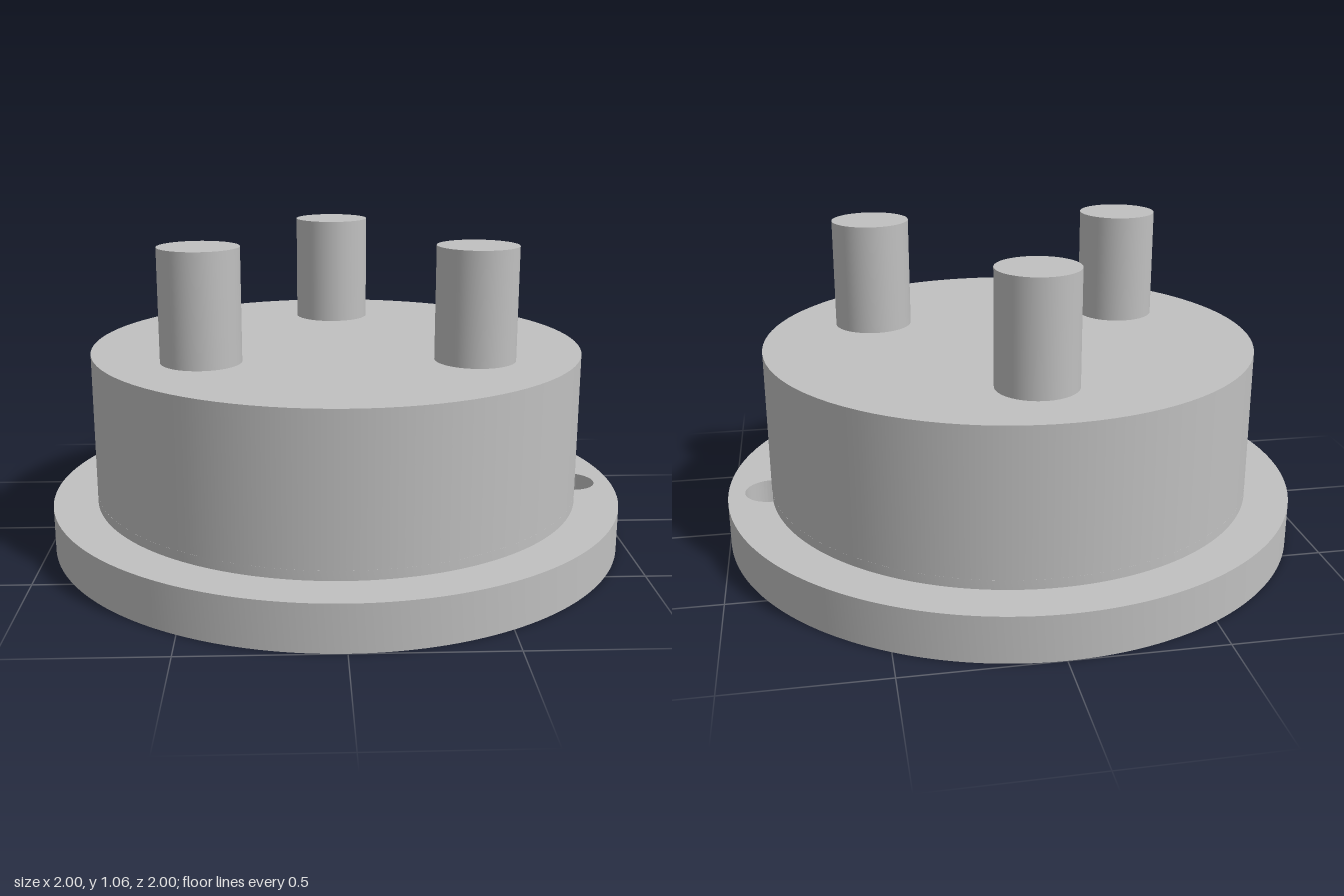
import * as THREE from 'three';
import { toCreasedNormals } from 'three/addons/utils/BufferGeometryUtils.js';

const FLANGE_R = 1, FLANGE_TOP = 0.155;
const DRUM_R = 0.848, DRUM_TOP = 0.68;
const HOLE_X = 0.85, HOLE_R = 0.092, HOLE_TOP = 0.187;
const PIN_R = 0.135, PIN_TOP = 1.06, PIN_RING = 0.523;

export function createModel() {
  const group = new THREE.Group();
  const grey = new THREE.MeshStandardMaterial({ color: 0xc0c0c0 });
  grey.name = 'grey';

  const add = (name, geometry, x = 0, y = 0, z = 0) => {
    const mesh = new THREE.Mesh(geometry, grey);
    mesh.name = name;
    mesh.position.set(x, y, z);
    group.add(mesh);
  };

  // Upright slab with the given outline, smooth round its curved walls
  const slab = (shape, height) => {
    const geometry = new THREE.ExtrudeGeometry(shape, { depth: height, bevelEnabled: false, curveSegments: 96 });
    geometry.rotateX(-Math.PI / 2);
    return toCreasedNormals(geometry, 0.6);
  };

  // Base flange with a hole right through it
  const flange = new THREE.Shape().absarc(0, 0, FLANGE_R, 0, Math.PI * 2, false);
  flange.holes.push(new THREE.Path().absarc(HOLE_X, 0, HOLE_R, 0, Math.PI * 2, true));
  add('flange', slab(flange, FLANGE_TOP));

  // Foot of the drum, where the hole bites a shallow notch into its wall
  const a = Math.acos((DRUM_R ** 2 + HOLE_X ** 2 - HOLE_R ** 2) / (2 * DRUM_R * HOLE_X));
  const b = Math.atan2(DRUM_R * Math.sin(a), DRUM_R * Math.cos(a) - HOLE_X);
  const foot = new THREE.Shape();
  foot.absarc(0, 0, DRUM_R, a, Math.PI * 2 - a, false);
  foot.absarc(HOLE_X, 0, HOLE_R, -b, b, true);
  add('drumFoot', slab(foot, HOLE_TOP - FLANGE_TOP), 0, FLANGE_TOP, 0);

  // Main drum; its underside closes the top of the notch
  const drumHeight = DRUM_TOP - HOLE_TOP;
  add('drum', new THREE.CylinderGeometry(DRUM_R, DRUM_R, drumHeight, 96), 0, HOLE_TOP + drumHeight / 2, 0);

  // Three pins evenly spaced on a ring, one at the back
  const pinHeight = PIN_TOP - DRUM_TOP;
  for (let i = 0; i < 3; i++) {
    const angle = Math.PI + (i * Math.PI * 2) / 3;
    add(`pin${i + 1}`, new THREE.CylinderGeometry(PIN_R, PIN_R, pinHeight, 64),
      PIN_RING * Math.sin(angle), DRUM_TOP + pinHeight / 2, PIN_RING * Math.cos(angle));
  }

  return group;
}
